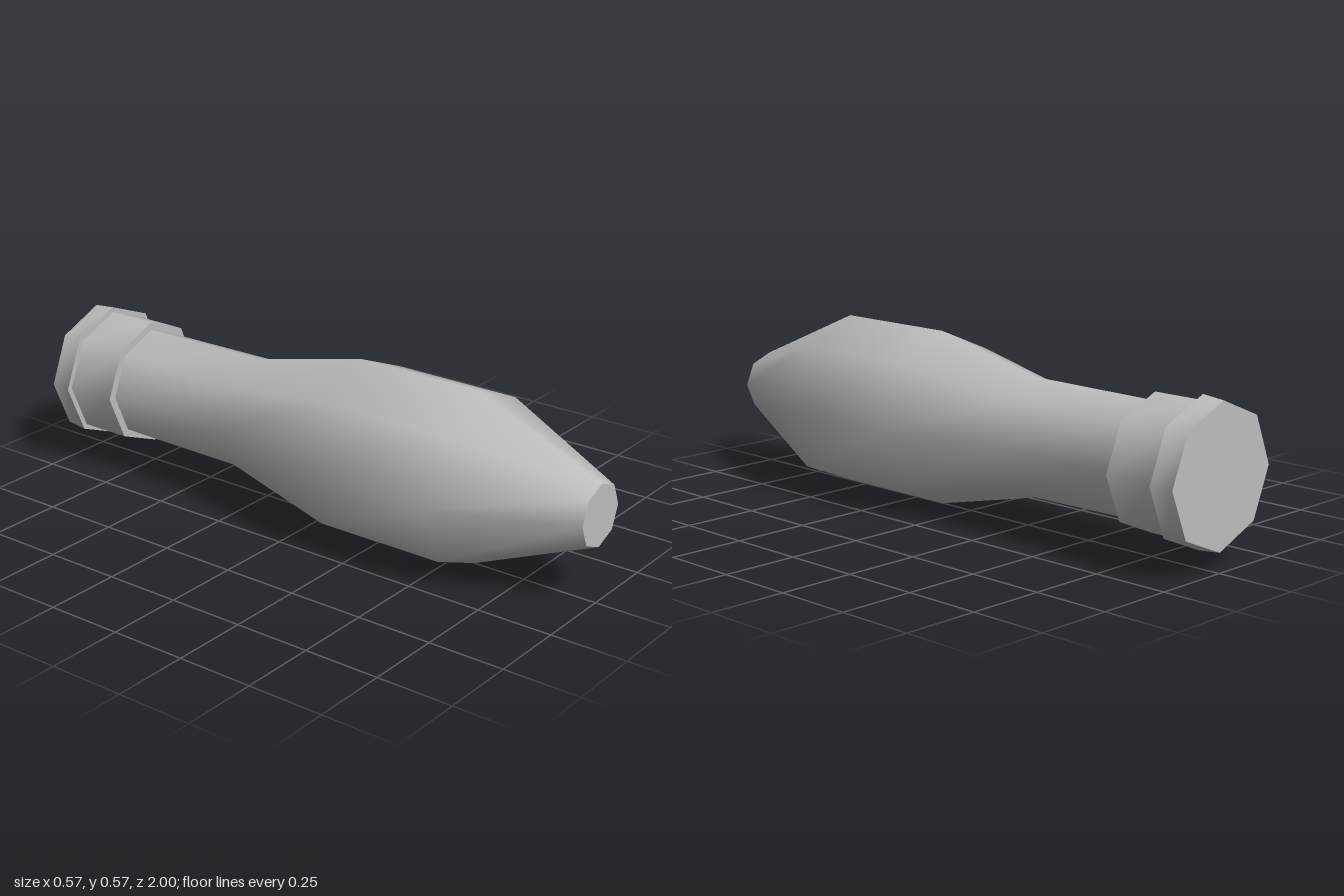
import * as THREE from 'three';
import { toCreasedNormals } from 'three/addons/utils/BufferGeometryUtils.js';

const SIDES = 8;
const AXIS_HEIGHT = 0.286;

export function createModel() {
  const group = new THREE.Group();
  group.name = 'handle';

  const grey = new THREE.MeshStandardMaterial({ color: 0xbcbcbc });
  grey.name = 'grey';

  // Closed eight-sided turning along z; profile is [radius, z] from back to front
  function turned(name, profile) {
    const closed = [[0, profile[0][1]], ...profile, [0, profile.at(-1)[1]]];
    const lathe = new THREE.LatheGeometry(closed.map(([r, z]) => new THREE.Vector2(r, z)), SIDES);
    lathe.rotateX(Math.PI / 2);
    const mesh = new THREE.Mesh(toCreasedNormals(lathe, Math.PI / 3), grey);
    mesh.name = name;
    mesh.position.y = AXIS_HEIGHT;
    group.add(mesh);
  }

  // Neck swelling into a belly, then tapering to the blunt front tip
  turned('body', [[0.186, -0.76], [0.191, -0.28], [0.285, 0.13], [0.285, 0.57], [0.102, 1]]);
  // Plain ring around the neck
  turned('collar', [[0.213, -0.93], [0.213, -0.75]]);
  // Slightly flared end cap
  turned('endCap', [[0.223, -1], [0.231, -0.925]]);

  return group;
}
